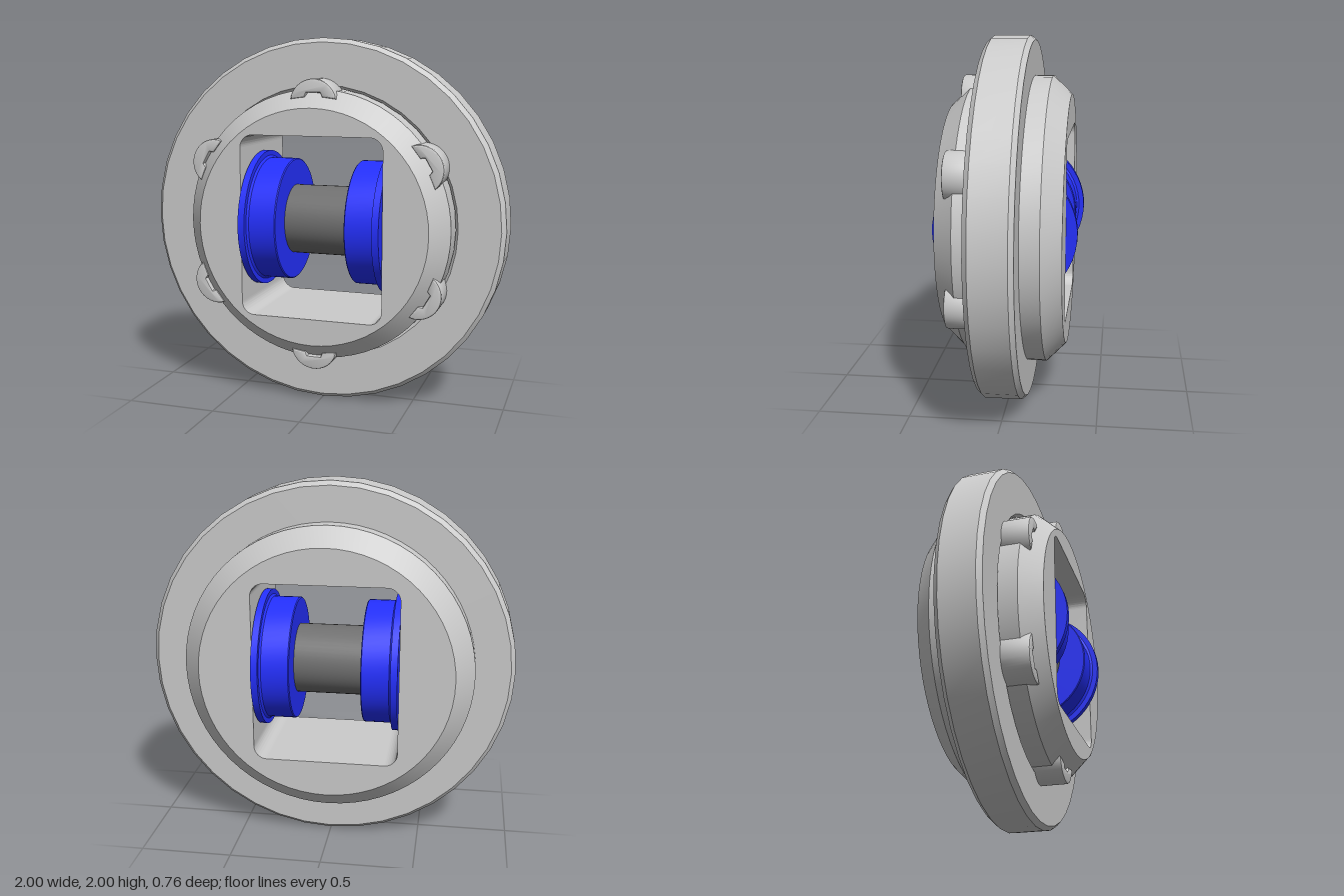
import * as THREE from 'three';
import { toCreasedNormals } from 'three/addons/utils/BufferGeometryUtils.js';

const grey = new THREE.MeshStandardMaterial({ color: 0xcccccc });
const dark = new THREE.MeshStandardMaterial({ color: 0x707070 });
const blue = new THREE.MeshStandardMaterial({ color: 0x2430ff });

function part(name, geometry, material, parent) {
  const mesh = new THREE.Mesh(toCreasedNormals(geometry, 0.5), material);
  mesh.name = name;
  parent.add(mesh);
  return mesh;
}

// Solid of revolution from [radius, height] pairs listed from bottom to top
function lathe(points, segments) {
  return new THREE.LatheGeometry(points.map(([r, h]) => new THREE.Vector2(r, h)), segments);
}

function roundedRect(w, h, r) {
  const p = new THREE.Path();
  p.moveTo(-w + r, -h);
  p.lineTo(w - r, -h);
  p.absarc(w - r, -h + r, r, -Math.PI / 2, 0);
  p.lineTo(w, h - r);
  p.absarc(w - r, h - r, r, 0, Math.PI / 2);
  p.lineTo(-w + r, h);
  p.absarc(-w + r, h - r, r, Math.PI / 2, Math.PI);
  p.lineTo(-w, -h + r);
  p.absarc(-w + r, -h + r, r, Math.PI, Math.PI * 1.5);
  return p;
}

export function createModel() {
  const model = new THREE.Group();
  model.name = 'ringHousing';
  const body = new THREE.Group();
  body.name = 'body';
  body.position.y = 1.002;
  model.add(body);

  // Wide outer ring with small chamfers
  part('outerRing', lathe([
    [0.73, -0.12], [0.975, -0.12], [0.998, -0.095], [0.998, 0.095],
    [0.975, 0.12], [0.75, 0.12], [0.735, 0.105], [0.73, -0.12],
  ], 40).rotateX(Math.PI / 2), grey, body);

  // Bevelled hub skin: wider behind the ring, narrower in front
  part('hubShell', lathe([
    [0.635, -0.32], [0.685, -0.32], [0.785, -0.22], [0.785, -0.1],
    [0.73, -0.1], [0.73, 0.215], [0.635, 0.32],
  ], 64).rotateX(Math.PI / 2), grey, body);

  // Hub core with the rounded rectangular window
  const disc = new THREE.Shape();
  disc.absarc(0, 0, 0.635, 0, Math.PI * 2);
  disc.holes.push(roundedRect(0.392, 0.49, 0.07));
  part('hubCore', new THREE.ExtrudeGeometry(disc, {
    depth: 0.64, bevelEnabled: false, curveSegments: 32,
  }).translate(0, 0, -0.32), grey, body);

  // Six notched half-round clips around the front of the hub
  const clip = new THREE.Shape();
  const a = 0.27;
  clip.absarc(0, 0.655, 0.12, a, Math.PI - a);
  clip.lineTo(-0.055, 0.697);
  clip.lineTo(-0.045, 0.722);
  clip.lineTo(0.045, 0.722);
  clip.lineTo(0.055, 0.697);
  const clipGeometry = new THREE.ExtrudeGeometry(clip, {
    depth: 0.146, bevelSize: 0.01, bevelThickness: 0.01, bevelSegments: 2, curveSegments: 12,
  }).translate(0, 0, 0.11);
  for (let i = 0; i < 6; i++) {
    part('clip' + (i + 1), clipGeometry, grey, body).rotation.z = i * Math.PI / 3;
  }

  // Axle and two flanged wheels in the window
  part('axle', new THREE.CylinderGeometry(0.193, 0.193, 0.44, 48).rotateZ(Math.PI / 2), dark, body);
  for (const side of [1, -1]) {
    part(side > 0 ? 'leftWheel' : 'rightWheel', lathe([
      [0, 0.19], [0.335, 0.19], [0.34, 0.195], [0.34, 0.34], [0.352, 0.35],
      [0.38, 0.35], [0.38, 0.387], [0, 0.387],
    ], 56).rotateZ(-side * Math.PI / 2), blue, body);
  }
  return model;
}
